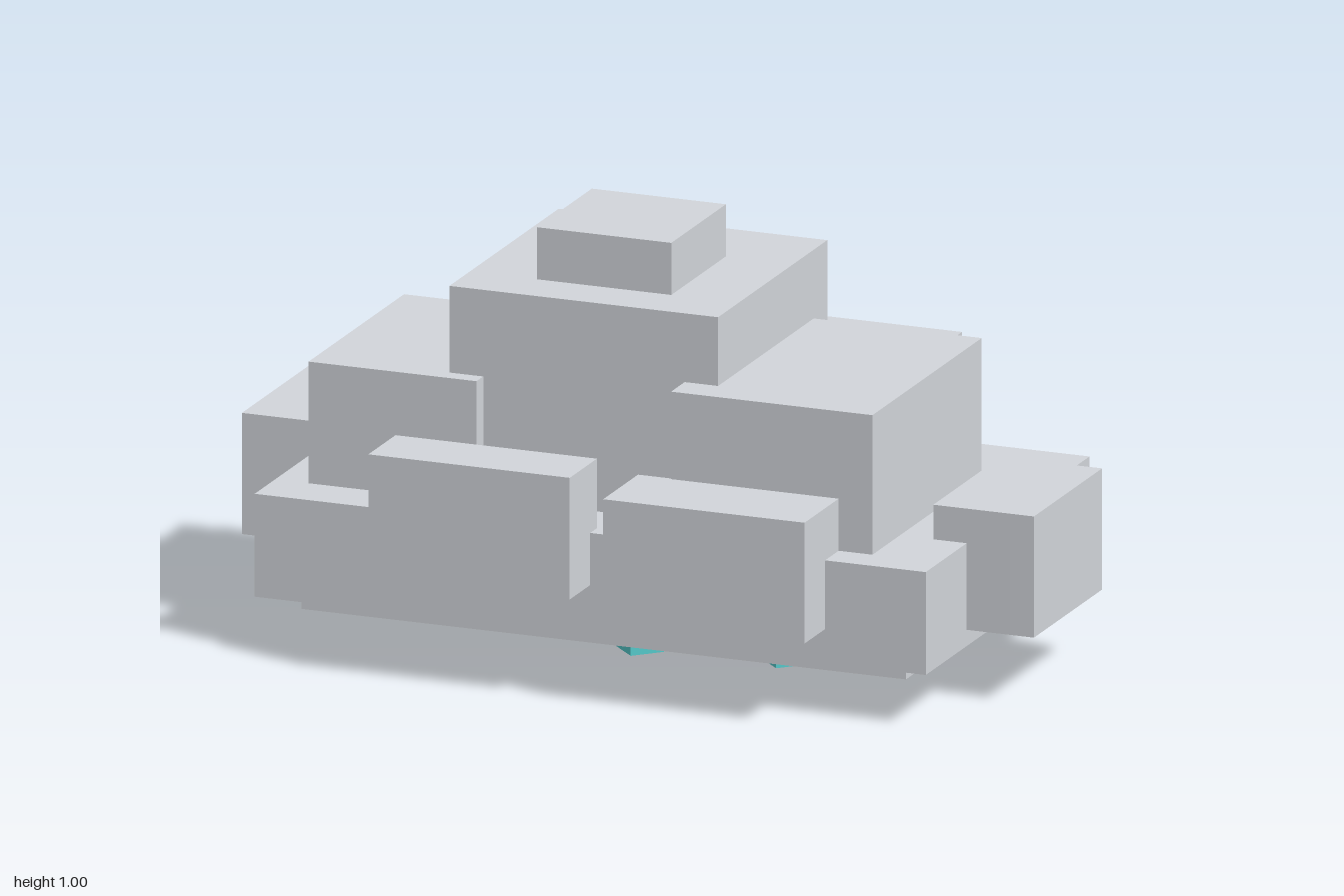
import * as THREE from 'three';

export function createModel() {
  const model = new THREE.Group();
  model.name = 'rainCloud';
  const cloudGrey = new THREE.MeshStandardMaterial({ color: 0xd2d5da });
  cloudGrey.name = 'cloudGrey';
  const rainTeal = new THREE.MeshStandardMaterial({ color: 0x56cbcd });
  rainTeal.name = 'rainTeal';

  // Box given by its lower and upper corners
  function block(name, material, [x0, y0, z0], [x1, y1, z1], parent = model) {
    const mesh = new THREE.Mesh(new THREE.BoxGeometry(x1 - x0, y1 - y0, z1 - z0), material);
    mesh.position.set((x0 + x1) / 2, (y0 + y1) / 2, (z0 + z1) / 2);
    mesh.name = name;
    parent.add(mesh);
  }

  // Cloud body and its puffs
  const puffs = [
    ['cloudUnderside', [-0.75, 0.085, -0.458], [0.75, 0.15, 0.375]],
    ['cloudBase', [-0.833, 0.128, -0.542], [0.833, 0.375, 0.458]],
    ['centrePuff', [-0.417, 0.3, -0.375], [0.25, 0.875, 0.292]],
    ['topPuff', [-0.25, 0.83, -0.167], [0.083, 1, 0.167]],
    ['leftPuff', [0.167, 0.3, -0.292], [0.667, 0.71, 0.375]],
    ['rightPuff', [-0.75, 0.3, -0.25], [-0.333, 0.667, 0.333]],
    ['backLeftPuff', [-0.083, 0.292, -0.583], [0.5, 0.625, -0.25]],
    ['backRightPuff', [-0.667, 0.3, -0.5], [-0.167, 0.583, -0.2]],
    ['frontLeftPuff', [0.083, 0.21, 0.37], [0.583, 0.5, 0.583]],
    ['frontRightPuff', [-0.5, 0.25, 0.417], [0, 0.542, 0.583]],
    ['leftEndPuff', [0.75, 0.167, -0.208], [1, 0.458, 0.208]],
    ['rightEndPuff', [-1, 0.167, -0.292], [-0.75, 0.458, 0.125]],
  ];
  for (const [name, low, high] of puffs) block(name, cloudGrey, low, high);

  // Raindrops turned by 45 degrees: x, z, lower end
  const drops = [
    [-0.625, -0.25, 0.043], [-0.46, 0.167, 0.043], [0.04, 0.25, 0.043], [0.583, -0.208, 0.043],
    [-0.167, -0.167, 0], [0.333, 0.083, 0],
  ];
  const h = 0.0417;
  for (const [x, z, bottom] of drops) {
    const drop = new THREE.Group();
    drop.name = 'raindrop';
    drop.position.set(x, 0, z);
    drop.rotation.y = Math.PI / 4;
    block('dropBody', rainTeal, [-h, bottom, -h], [h, 0.1, h], drop);
    // Stepped glints on the two front faces of the long drops
    if (bottom === 0) {
      for (const [start, end, low] of [[0, 0.02, 0.043], [0.02, 0.036, 0.064]]) {
        block('glint', cloudGrey, [-h + start, low, h], [-h + end, 0.086, h + 0.001], drop);
        block('glint', cloudGrey, [-h - 0.001, low, -h + start], [-h, 0.086, -h + end], drop);
      }
    }
    model.add(drop);
  }
  return model;
}
